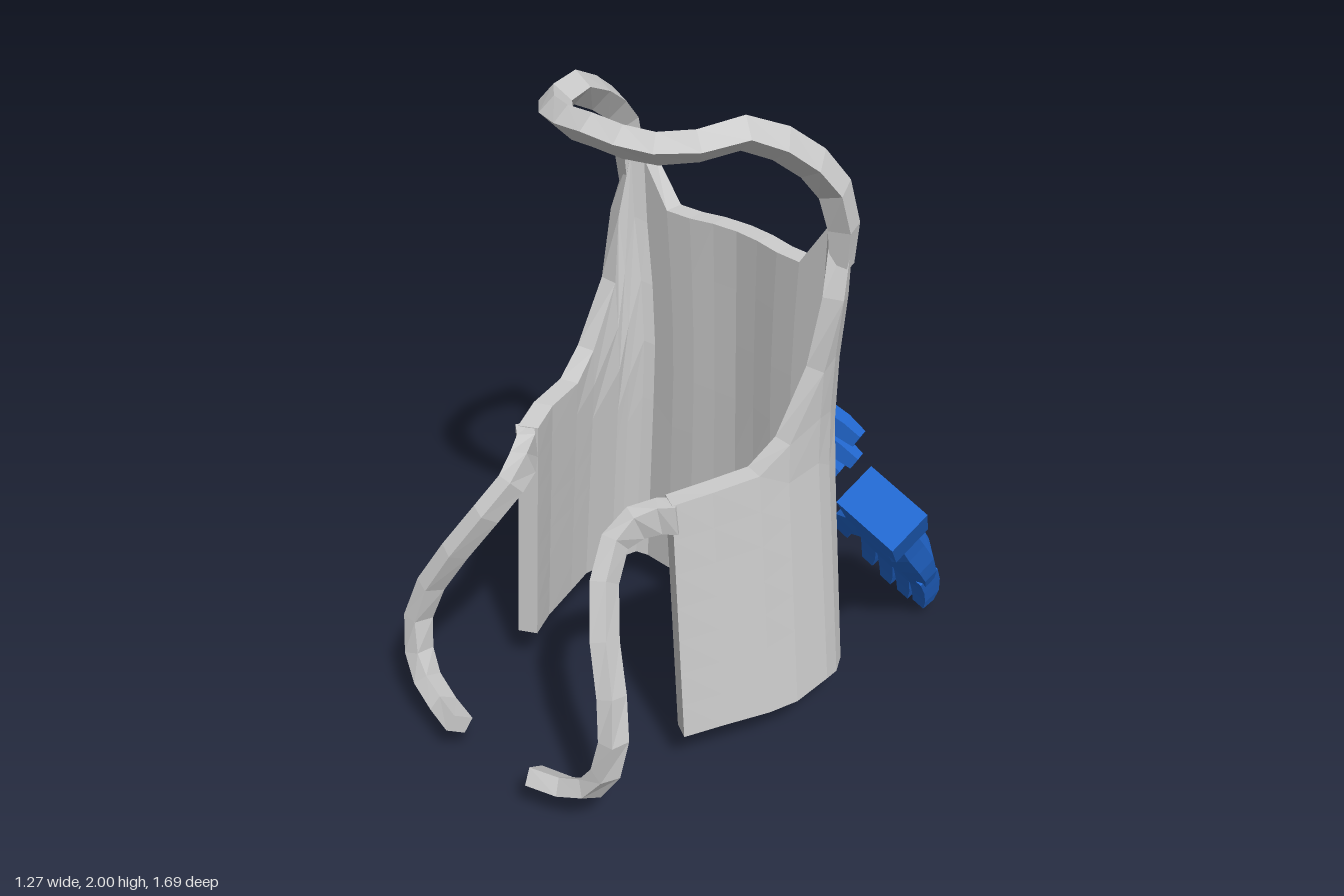
import * as THREE from 'three';

const V = (x, y, z) => new THREE.Vector3(x, y, z);
const SQUARE = [[-1, -1], [1, -1], [1, 1], [-1, 1]];
const HAND = [[-1, -0.5], [-0.65, -1], [0.65, -1], [1, -0.5], [1, 0.45], [0.6, 1], [-0.6, 1], [-1, 0.45]];

// Faceted geometry from points and triangle indices
function facets(points, index) {
  const g = new THREE.BufferGeometry().setFromPoints(points);
  g.setIndex(index);
  const flat = g.toNonIndexed();
  flat.computeVertexNormals();
  return flat;
}

// Sweeps a profile along rows of [x, y, z, halfWidth, halfDepth]; ref(p) steers the depth axis
function sweep(rows, ref, prof = SQUARE) {
  const c = rows.map(r => V(r[0], r[1], r[2]));
  const pts = [], idx = [], n = prof.length, last = rows.length - 1;
  rows.forEach((r, i) => {
    const t = c[Math.min(i + 1, last)].clone().sub(c[Math.max(i - 1, 0)]).normalize();
    const b = ref(c[i]).clone();
    b.addScaledVector(t, -b.dot(t)).normalize();
    const a = b.clone().cross(t);
    for (const [u, v] of prof) pts.push(c[i].clone().addScaledVector(a, u * r[3]).addScaledVector(b, v * r[4]));
  });
  for (let i = 0; i < last; i++) {
    for (let j = 0; j < n; j++) {
      const k = (j + 1) % n, p = i * n, q = p + n;
      idx.push(p + j, p + k, q + k, p + j, q + k, q + j);
    }
  }
  for (let j = 1; j < n - 1; j++) idx.push(0, j + 1, j, last * n, last * n + j, last * n + j + 1);
  return facets(pts, idx);
}

// Piecewise-linear lookup
function lookup(table, y) {
  for (let i = 1; i < table.length; i++) {
    const [y0, v0] = table[i - 1], [y1, v1] = table[i];
    if (y <= y1) return v0 + (v1 - v0) * (y - y0) / (y1 - y0);
  }
  return table[table.length - 1][1];
}

// Curved cloth shell: columns of [x, z, topHeight] from the middle to the open edge
function apronShell() {
  const half = [
    [0, -0.28, 1.465], [0.1, -0.272, 1.465], [0.19, -0.26, 1.46], [0.28, -0.255, 1.46],
    [0.395, -0.258, 1.6], [0.46, -0.215, 1.62], [0.497, -0.15, 1.42], [0.51, -0.09, 1.21],
    [0.505, 0.03, 1.02], [0.48, 0.13, 0.95], [0.43, 0.28, 0.945], [0.37, 0.39, 0.93],
  ];
  const cols = [...half.slice(1).reverse().map(([x, z, t]) => [-x, z, t]), ...half];
  const widths = [[0.1, 1], [0.95, 0.86], [1.2, 0.88], [1.45, 0.94], [1.65, 0.95]];
  const R = 7, thick = 0.063, pts = [], idx = [];
  cols.forEach(([x, z, top], i) => {
    const p = cols[Math.max(i - 1, 0)], q = cols[Math.min(i + 1, cols.length - 1)];
    const len = Math.hypot(q[0] - p[0], q[1] - p[1]);
    const nx = -(q[1] - p[1]) / len, nz = (q[0] - p[0]) / len;
    const low = 0.14 + 0.008 * Math.cos(i * 2.1);
    for (let side = 0; side < 2; side++) {
      for (let r = 0; r <= R; r++) {
        const y = low + (top - low) * r / R;
        const back = z < 0 ? -0.018 * (1 - y / 1.46) : 0;
        pts.push(V(x * lookup(widths, y) + nx * thick * side, y, z + back + nz * thick * side));
      }
    }
  });
  const at = (i, side, r) => (i * 2 + side) * (R + 1) + r;
  const quad = (a, b, c, d) => idx.push(a, b, c, a, c, d);
  const N = cols.length - 1;
  for (let i = 0; i < N; i++) {
    for (let r = 0; r < R; r++) {
      quad(at(i, 0, r), at(i, 0, r + 1), at(i + 1, 0, r + 1), at(i + 1, 0, r));
      quad(at(i, 1, r), at(i + 1, 1, r), at(i + 1, 1, r + 1), at(i, 1, r + 1));
    }
    quad(at(i, 0, R), at(i, 1, R), at(i + 1, 1, R), at(i + 1, 0, R));
    quad(at(i, 0, 0), at(i + 1, 0, 0), at(i + 1, 1, 0), at(i, 1, 0));
  }
  for (let r = 0; r < R; r++) {
    quad(at(0, 0, r), at(0, 1, r), at(0, 1, r + 1), at(0, 0, r + 1));
    quad(at(N, 1, r), at(N, 0, r), at(N, 0, r + 1), at(N, 1, r + 1));
  }
  return facets(pts, idx);
}

function makeApron(mat) {
  const g = new THREE.Group();
  g.name = 'apron';
  const add = (name, geo) => {
    const m = new THREE.Mesh(geo, mat);
    m.name = name;
    g.add(m);
    return m;
  };
  add('apronBody', apronShell());

  // Neck loop, sagging a little on the right shoulder
  const strap = [
    [0.415, 1.5, -0.195, 0.028, 0.026], [0.42, 1.62, -0.19, 0.034, 0.034], [0.41, 1.74, -0.155, 0.036, 0.036],
    [0.388, 1.83, -0.085, 0.038, 0.034], [0.355, 1.905, 0.01, 0.038, 0.033], [0.318, 1.955, 0.12, 0.036, 0.033],
    [0.27, 1.94, 0.24, 0.033, 0.034], [0.19, 1.93, 0.31, 0.031, 0.037], [0.1, 1.935, 0.345, 0.031, 0.038],
  ];
  const sag = [0, 0, 0.01, 0.03, 0.04, 0.035, 0.015, 0, 0];
  const sagging = strap.map(([x, y, ...r], i) => [-x, y - sag[i], ...r]).reverse();
  const loop = [...strap, [0, 1.943, 0.355, 0.031, 0.038], ...sagging];
  add('neckStrap', sweep(loop, p => V(-p.x, 1.65 - p.y, -p.z * 0.7)));

  // Waist ties, growing out of the front edges
  const tie = [
    [0.32, 0.885, 0.365], [0.275, 0.88, 0.395], [0.235, 0.865, 0.45], [0.218, 0.825, 0.515], [0.25, 0.74, 0.59],
    [0.32, 0.61, 0.66], [0.39, 0.48, 0.705], [0.425, 0.36, 0.735], [0.41, 0.25, 0.755], [0.36, 0.175, 0.77],
    [0.27, 0.135, 0.785], [0.165, 0.13, 0.81],
  ];
  for (const s of [1, -1]) {
    const rows = tie.map(([x, y, z], i) => [s * x, y, z, 0.027, i < 3 ? 0.045 : 0.035]);
    add(s > 0 ? 'leftTie' : 'rightTie', sweep(rows, p => V(0, 1, Math.max(0, (p.z - 0.38) * 4))));
  }

  // Patch pocket
  const pocket = add('pocket', new THREE.BoxGeometry(0.31, 0.24, 0.035));
  pocket.position.set(-0.17, 1.24, -0.27);
  pocket.rotation.y = 0.06;
  g.position.x = 0.02;
  return g;
}

// Glove in local axes: y to the fingertips, z out of the back of the hand, thumb on side s
function makeGlove(name, mat, s, start, along, across) {
  const g = new THREE.Group();
  g.name = name;
  const up = () => V(0, 0, 1);
  const add = (part, geo) => {
    const m = new THREE.Mesh(geo, mat);
    m.name = part;
    g.add(m);
  };
  add('cuff', sweep([[0, 0, 0, 0.118, 0.078], [0, 0.16, 0, 0.108, 0.072]], up));
  add('palm', sweep([
    [0, 0.14, 0, 0.102, 0.07], [0, 0.23, 0.005, 0.118, 0.074], [0, 0.34, 0.012, 0.142, 0.07],
    [0, 0.44, 0.012, 0.15, 0.056], [0, 0.54, 0.005, 0.14, 0.042],
  ], up, HAND));
  [[0.108, 0.76], [0.038, 0.805], [-0.034, 0.785], [-0.104, 0.715]].forEach(([x, tip], i) => {
    const at = k => 0.48 + (tip - 0.48) * k;
    add('finger' + (i + 1), sweep([
      [s * x, 0.48, 0.01, 0.035, 0.04], [s * x * 1.06, at(0.4), 0.008, 0.034, 0.037],
      [s * x * 1.12, at(0.75), -0.005, 0.031, 0.033], [s * x * 1.15, tip, -0.025, 0.024, 0.026],
    ], up));
  });
  add('thumb', sweep([
    [s * 0.05, 0.2, -0.01, 0.045, 0.05], [s * 0.14, 0.32, -0.015, 0.05, 0.05],
    [s * 0.19, 0.45, -0.02, 0.039, 0.04], [s * 0.21, 0.58, -0.03, 0.027, 0.03],
  ], up));
  const y = along.normalize();
  const x = across.addScaledVector(y, -across.dot(y)).normalize();
  g.quaternion.setFromRotationMatrix(new THREE.Matrix4().makeBasis(x, y, x.clone().cross(y)));
  g.position.copy(start);
  return g;
}

export function createModel() {
  const cloth = new THREE.MeshStandardMaterial({ color: 0xcccccc });
  cloth.name = 'greyCloth';
  const rubber = new THREE.MeshStandardMaterial({ color: 0x2268d0 });
  rubber.name = 'blueRubber';
  const model = new THREE.Group();
  model.name = 'apronAndGloves';
  model.add(
    makeApron(cloth),
    makeGlove('rightGlove', rubber, 1, V(-0.54, 0.82, -0.435), V(0.63, -0.47, -0.42), V(0, 1, 0.08)),
    makeGlove('leftGlove', rubber, -1, V(0.505, 0.645, -0.36), V(-0.22, -0.59, -0.455), V(1, -0.35, 0)),
  );
  return model;
}
